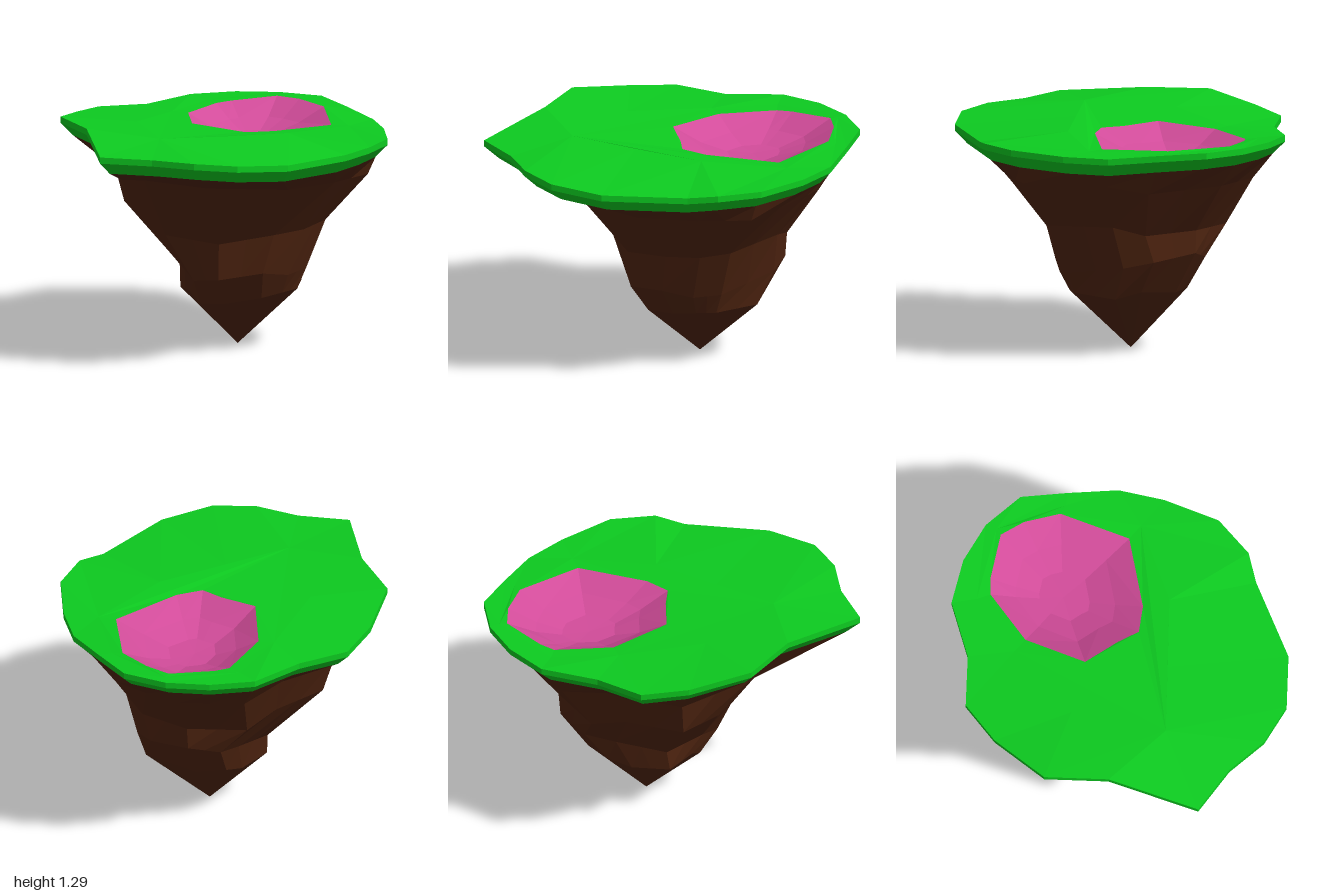
import * as THREE from 'three';

// Island outline, clockwise from the back: x, z, height of the grass edge
const OUTLINE = [
  [0.04, -1.0, 1.235], [0.29, -0.96, 1.235], [0.48, -0.78, 1.22], [0.68, -0.58, 1.2],
  [0.8, -0.35, 1.2], [0.9, -0.04, 1.21], [0.86, 0.21, 1.21], [0.76, 0.35, 1.19],
  [0.54, 0.77, 1.205], [0.3, 0.96, 1.225], [0.06, 1.0, 1.235], [-0.19, 0.96, 1.235],
  [-0.48, 0.98, 1.24], [-0.68, 0.5, 1.295], [-0.9, 0.22, 1.295], [-0.9, -0.14, 1.25],
  [-0.84, -0.4, 1.23], [-0.61, -0.58, 1.22], [-0.43, -0.85, 1.23], [-0.2, -0.96, 1.235],
];

// Fold line of the grass around the hollow, with a diagonal ridge in front
const FOLD = [
  [0.06, -0.94, 1.235], [0.42, -0.74, 1.22], [0.6, -0.35, 1.205], [0.36, 0.06, 1.235],
  [0.05, 0.31, 1.25], [-0.25, 0.55, 1.27], [-0.5, 0.08, 1.26], [-0.42, -0.4, 1.225],
  [-0.32, -0.76, 1.22],
];

// Hollow rim, clockwise from the back: x, z, height
const RIM = [
  [0.05, -0.9, 1.235], [0.19, -0.85, 1.235], [0.36, -0.73, 1.225], [0.5, -0.35, 1.205],
  [0.24, -0.03, 1.22], [0.11, 0.05, 1.225], [-0.01, 0.0, 1.225], [-0.22, -0.06, 1.235],
  [-0.33, -0.4, 1.22], [-0.25, -0.72, 1.215], [-0.18, -0.78, 1.22],
];

// Rock levels: reach to left side, right side, front, back; then heights on those sides
const LEVELS = [
  { reach: [0.69, 0.79, 0.66, 0.82], y: [0.99, 1.01, 1.03, 1.0] },
  { reach: [0.62, 0.55, 0.35, 0.61], y: [0.78, 0.74, 0.65, 0.72] },
  { reach: [0.3, 0.44, 0.33, 0.6], y: [0.44, 0.46, 0.44, 0.59] },
  { reach: [0.29, 0.39, 0.22, 0.44], y: [0.31, 0.34, 0.28, 0.35] },
];

const V = (x, y, z) => new THREE.Vector3(x, y, z);
const toRing = (pts) => pts.map(([x, z, y]) => V(x, y, z));
const repeat = (p, n) => Array.from({ length: n }, () => p);
const nearest = (ring, p) => ring.reduce((a, b) => (b.distanceTo(p) < a.distanceTo(p) ? b : a));

function pushTriangle(out, a, b, c) {
  if (a.equals(b) || b.equals(c) || a.equals(c)) return;
  for (const p of [a, b, c]) out.push(p.x, p.y, p.z);
}

// Joins successive rings of equal count with triangles
function loft(rings) {
  const out = [];
  for (let r = 0; r + 1 < rings.length; r++) {
    const a = rings[r], b = rings[r + 1], n = a.length;
    for (let i = 0; i < n; i++) {
      const j = (i + 1) % n;
      pushTriangle(out, a[i], a[j], b[j]);
      pushTriangle(out, a[i], b[j], b[i]);
    }
  }
  return out;
}

// Upward-facing surface between an outer loop and a hole
function ringSurface(outer, hole) {
  const flat = (ring) => ring.map((p) => new THREE.Vector2(p.x, -p.z));
  const all = [...outer, ...hole], out = [];
  for (const [i, j, k] of THREE.ShapeUtils.triangulateShape(flat(outer), [flat(hole)])) {
    const a = all[i], b = all[j], c = all[k];
    const up = b.clone().sub(a).cross(c.clone().sub(a)).y > 0;
    if (up) pushTriangle(out, a, b, c);
    else pushTriangle(out, a, c, b);
  }
  return out;
}

function facetedMesh(name, positions, color) {
  const geo = new THREE.BufferGeometry();
  geo.setAttribute('position', new THREE.Float32BufferAttribute(positions, 3));
  geo.computeVertexNormals();
  const mesh = new THREE.Mesh(geo, new THREE.MeshStandardMaterial({ color, flatShading: true }));
  mesh.name = name;
  return mesh;
}

// One rock level: the outline squeezed to its reach and rounded,
// chipped at the front left corner and swelling at the back right one
function rockRing({ reach, y }, level) {
  const ring = OUTLINE.map(([x, z], i) => {
    const round = 1 / Math.max(1, Math.hypot(x / 0.9, z));
    const u = (x / 0.9) * round, v = z * round;
    const side = u < 0 ? 0 : 1, end = v > 0 ? 2 : 3;
    const w = (u * u) / (u * u + v * v);
    const corner = u * v < 0 ? Math.sign(u) * 0.28 : 0;
    const swell = 1 + corner * level * (u * v) ** 2;
    const height = y[side] * w + y[end] * (1 - w) + 0.06 * Math.sin(i * 2.3 + level) * Math.abs(u * v);
    return V(u * reach[side] * swell, height, v * reach[end] * swell);
  });
  // Flatten some columns into their neighbours for broad facets
  const n = ring.length;
  return ring.map((p, i) => (i % 5 === 1 || i % 5 === 4
    ? ring[(i + n - 1) % n].clone().lerp(ring[(i + 1) % n], 0.5) : p));
}

export function createModel() {
  const island = new THREE.Group();
  island.name = 'floatingIsland';

  // Grass cap: folded top surface, short upright edge, bevelled lower edge
  const edge = toRing(OUTLINE);
  const fold = toRing(FOLD);
  const rim = toRing(RIM);
  const lip = edge.map((p) => V(p.x, p.y - 0.035, p.z));
  const under = edge.map((p) => V(p.x * 0.925, p.y - 0.105, p.z * 0.925));
  const top = [...loft([edge.map((p) => nearest(fold, p)), edge]), ...ringSurface(fold, rim)];
  island.add(facetedMesh('grassTop', top, 0x0dcb20));
  island.add(facetedMesh('grassEdge', loft([edge, lip, under]), 0x0dcb20));

  // Rock tapering to a point
  const tip = repeat(V(0.03, 0, -0.1), edge.length);
  island.add(facetedMesh('rock', loft([under, ...LEVELS.map(rockRing), tip]), 0x4f2410));

  // Shallow faceted hollow
  const centre = V(0.03, 1.1, -0.43);
  const inward = (t, y) => rim.map((p) => {
    const q = p.clone().lerp(centre, t);
    return V(q.x, y, q.z);
  });
  const hollow = [repeat(centre, rim.length), inward(0.67, 1.105), inward(0.35, 1.15), rim];
  island.add(facetedMesh('hollow', loft(hollow), 0xd24c9a));

  return island;
}
